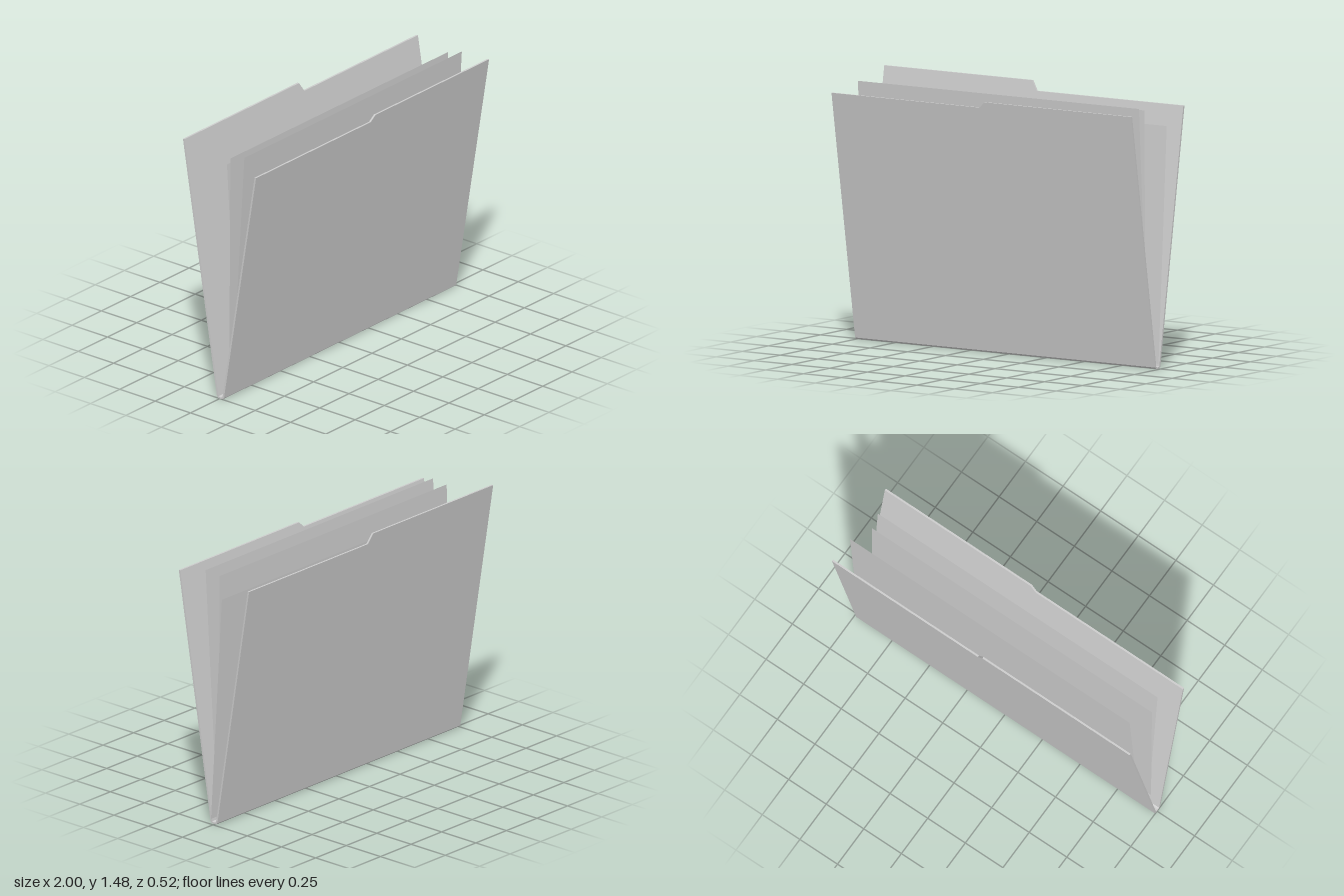
import * as THREE from 'three';

const LEFT = -1, RIGHT = 0.986, THICK = 0.011, FOLD_Y = 0.01;

function mesh(name, geometry, side = THREE.FrontSide) {
  const m = new THREE.Mesh(geometry, new THREE.MeshStandardMaterial({ color: 0xcccccc, flatShading: true, side }));
  m.name = name;
  return m;
}

// Cover: a card outline with a stepped top edge, leaned by shearing z with height.
function cover(name, topLeft, topRight, z, slope) {
  const shape = new THREE.Shape([
    [LEFT, FOLD_Y], [RIGHT, FOLD_Y], [RIGHT, topRight], [0.015, topRight], [-0.02, topLeft], [LEFT, topLeft],
  ].map(([x, y]) => new THREE.Vector2(x, y)));
  const geo = new THREE.ExtrudeGeometry(shape, { depth: THICK, bevelEnabled: false });
  const p = geo.attributes.position;
  for (let i = 0; i < p.count; i++) p.setZ(i, p.getZ(i) + z + (p.getY(i) - FOLD_Y) * slope);
  geo.computeVertexNormals();
  return mesh(name, geo);
}

// Folded spine: a shallow curved strip joining the two covers.
function spine() {
  const outer = [[-0.02, FOLD_Y], [-0.011, 0.002], [0.005, 0], [0.021, 0.002], [0.03, FOLD_Y]];
  const inner = [[0.019, 0.012], [0.012, 0.01], [0.005, 0.009], [-0.002, 0.01], [-0.009, 0.012]];
  const shape = new THREE.Shape([...outer, ...inner].map(([z, y]) => new THREE.Vector2(-z, y)));
  const geo = new THREE.ExtrudeGeometry(shape, { depth: RIGHT - LEFT, bevelEnabled: false });
  geo.rotateY(Math.PI / 2).translate(LEFT, 0, 0);
  return mesh('spine', geo);
}

// Loose paper sheet, leaning from its bottom edge to its top edge.
function sheet(name, x, [y0, z0], [y1, z1]) {
  const geo = new THREE.PlaneGeometry(1.86, Math.hypot(y1 - y0, z1 - z0));
  geo.rotateX(Math.atan2(z1 - z0, y1 - y0));
  geo.translate(x, (y0 + y1) / 2, (z0 + z1) / 2);
  return mesh(name, geo, THREE.DoubleSide);
}

export function createModel() {
  const group = new THREE.Group();
  group.name = 'folder';
  group.add(
    cover('frontCover', 1.385, 1.418, 0.019, 0.165),
    cover('backCover', 1.475, 1.42, -0.02, -0.164),
    spine(),
    sheet('frontSheet', 0.005, [0.14, 0.033], [1.44, 0.112]),
    sheet('middleSheet', -0.015, [0.12, 0.022], [1.42, 0.03]),
    sheet('backSheet', 0.068, [0.03, 0.016], [1.33, -0.063]),
  );
  return group;
}
